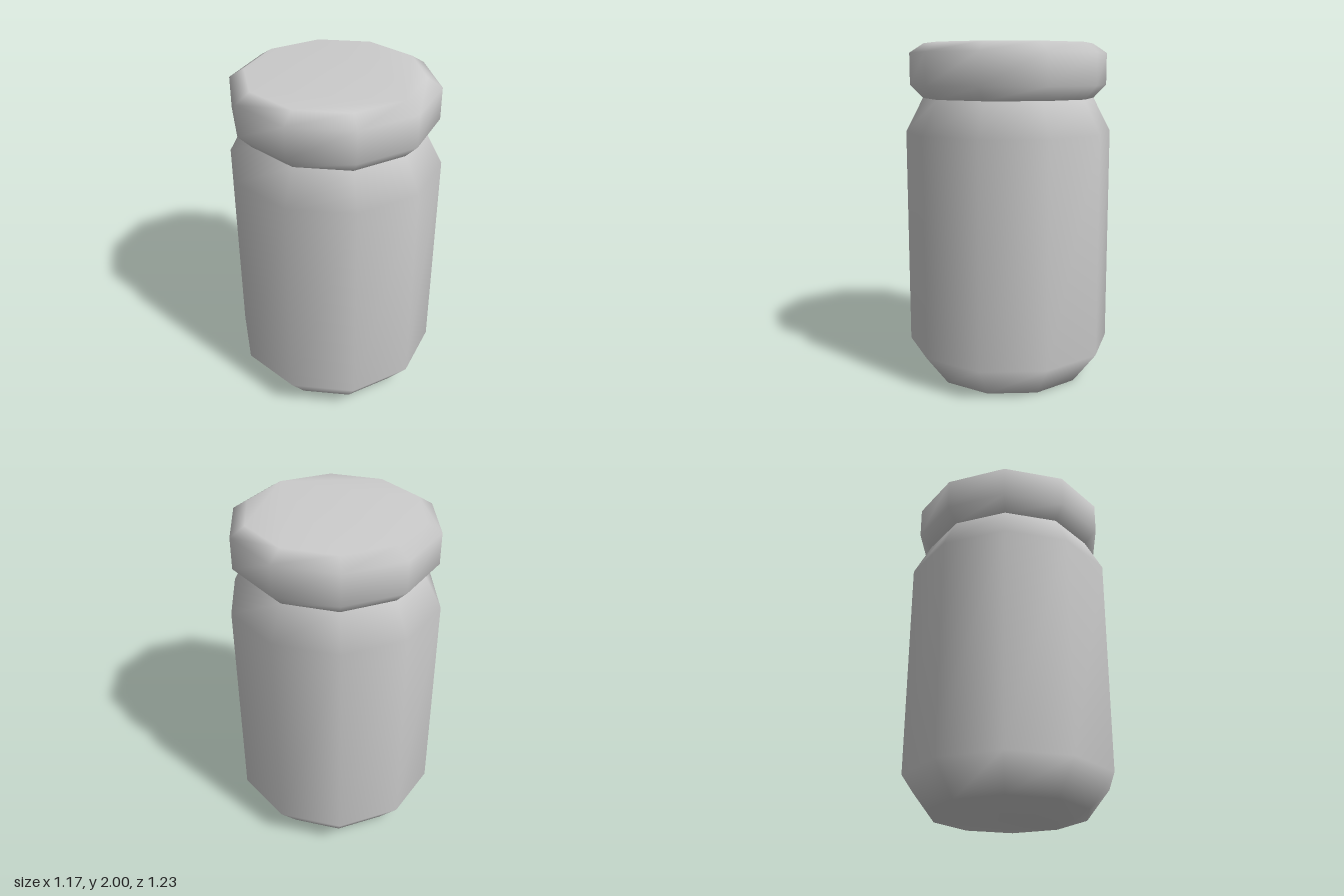
import * as THREE from 'three';

const SIDES = 10;

// Smooth ten-sided shell from [radius, height] rings, bottom to top, with optional end faces
function shell(profile, capBottom, capTop) {
  const positions = [];
  const index = [];
  for (const [r, y] of profile) {
    for (let i = 0; i < SIDES; i++) {
      const a = (i / SIDES) * Math.PI * 2;
      positions.push(r * Math.sin(a), y, r * Math.cos(a));
    }
  }
  for (let k = 0; k < profile.length - 1; k++) {
    for (let i = 0; i < SIDES; i++) {
      const j = (i + 1) % SIDES;
      const a = k * SIDES + i, b = k * SIDES + j;
      index.push(a, b, b + SIDES, a, b + SIDES, a + SIDES);
    }
  }
  const top = (profile.length - 1) * SIDES;
  for (let i = 1; i < SIDES - 1; i++) {
    if (capBottom) index.push(0, i + 1, i);
    if (capTop) index.push(top, top + i, top + i + 1);
  }
  const geometry = new THREE.BufferGeometry();
  geometry.setAttribute('position', new THREE.Float32BufferAttribute(positions, 3));
  geometry.setIndex(index);
  geometry.computeVertexNormals();
  return geometry;
}

export function createModel() {
  const group = new THREE.Group();
  group.name = 'jar';
  const grey = new THREE.MeshStandardMaterial({ color: 0xcccccc, side: THREE.DoubleSide });
  grey.name = 'light grey';

  // Jar body: chamfered base, straight wall, sloping shoulder
  const body = new THREE.Mesh(
    shell([[0.465, 0], [0.613, 0.19], [0.613, 1.485], [0.51, 1.682]], true, false), grey);
  body.name = 'jarBody';

  // Lid: flares out from the neck, chamfered top rim
  const lid = new THREE.Mesh(
    shell([[0.51, 1.682], [0.585, 1.76], [0.585, 1.945], [0.5, 2]], false, true), grey);
  lid.name = 'lid';

  group.add(body, lid);
  return group;
}
